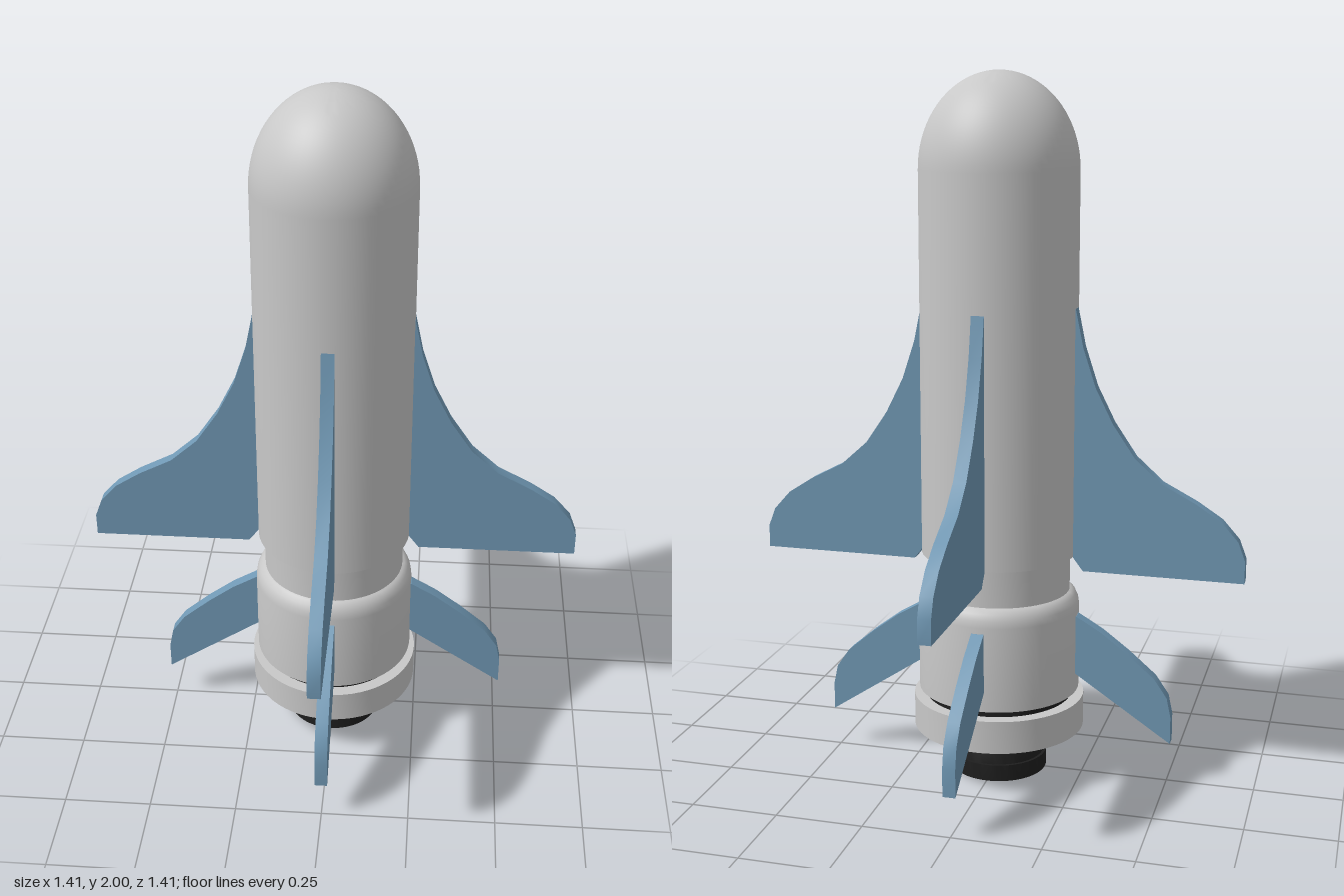
import * as THREE from 'three';
import { toCreasedNormals } from 'three/addons/utils/BufferGeometryUtils.js';

const hullGrey = new THREE.MeshStandardMaterial({ color: 0xc8c8c8 });
hullGrey.name = 'hullGrey';
const finBlue = new THREE.MeshStandardMaterial({ color: 0x7098b4 });
finBlue.name = 'finBlue';
const engineBlack = new THREE.MeshStandardMaterial({ color: 0x1e1e1e });
engineBlack.name = 'engineBlack';

const FIN_THICKNESS = 0.036;

// Turned part; profile is [radius, y] from bottom to top
function turned(name, profile, material) {
  const points = profile.map(([r, y]) => new THREE.Vector2(r, y));
  const mesh = new THREE.Mesh(toCreasedNormals(new THREE.LatheGeometry(points, 64), 0.55), material);
  mesh.name = name;
  return mesh;
}

// Four flat fins around the axis; outline is [radius, y]
function finSet(name, outline) {
  const group = new THREE.Group();
  group.name = name + 's';
  const shape = new THREE.Shape(outline.map(([r, y]) => new THREE.Vector2(r, y)));
  const geometry = new THREE.ExtrudeGeometry(shape, { depth: FIN_THICKNESS, bevelEnabled: false });
  geometry.translate(0, 0, -FIN_THICKNESS / 2);
  const creased = toCreasedNormals(geometry, 0.5);
  for (let i = 0; i < 4; i++) {
    const fin = new THREE.Mesh(creased, finBlue);
    fin.name = name;
    fin.rotation.y = (i * Math.PI) / 2;
    group.add(fin);
  }
  return group;
}

export function createModel() {
  const rocket = new THREE.Group();
  rocket.name = 'rocket';

  // Main body with elliptical nose
  const hull = [[0.19, 0.655], [0.222, 0.655], [0.222, 1.735]];
  for (let i = 1; i <= 20; i++) {
    const a = (i / 20) * (Math.PI / 2);
    hull.push([i === 20 ? 0 : 0.222 * Math.cos(a), 1.735 + 0.265 * Math.sin(a)]);
  }
  rocket.add(turned('body', hull, hullGrey));

  // Recessed neck, lower stage with rounded shoulder, base ring
  rocket.add(turned('neck', [[0.204, 0.53], [0.204, 0.66]], hullGrey));
  rocket.add(turned('lowerStage', [
    [0.2, 0.25], [0.232, 0.25], [0.232, 0.495], [0.229, 0.515],
    [0.221, 0.532], [0.21, 0.543], [0.2, 0.547],
  ], hullGrey));
  rocket.add(turned('baseRing', [[0.247, 0.133], [0.247, 0.228], [0.2, 0.228]], hullGrey));

  // Dark groove, underside and nozzle
  rocket.add(turned('groove', [[0.212, 0.22], [0.212, 0.255]], engineBlack));
  rocket.add(turned('baseUnderside', [[0, 0.133], [0.247, 0.133]], engineBlack));
  rocket.add(turned('nozzle', [
    [0, 0], [0.139, 0], [0.139, 0.048], [0.131, 0.048], [0.124, 0.085], [0.114, 0.115], [0.102, 0.14],
  ], engineBlack));

  // Large swept fins and small lower fins
  rocket.add(finSet('upperFin', [
    [0.2, 0.665], [0.22, 0.655], [0.25, 0.615], [0.705, 0.615], [0.705, 0.68], [0.685, 0.733],
    [0.637, 0.787], [0.566, 0.833], [0.47, 0.883], [0.393, 0.952], [0.33, 1.045],
    [0.28, 1.145], [0.244, 1.255], [0.222, 1.362], [0.2, 1.362],
  ]));
  rocket.add(finSet('lowerFin', [
    [0.215, 0.316], [0.51, 0.12], [0.51, 0.2], [0.498, 0.257], [0.46, 0.312],
    [0.38, 0.38], [0.305, 0.436], [0.233, 0.478], [0.215, 0.478],
  ]));

  return rocket;
}
